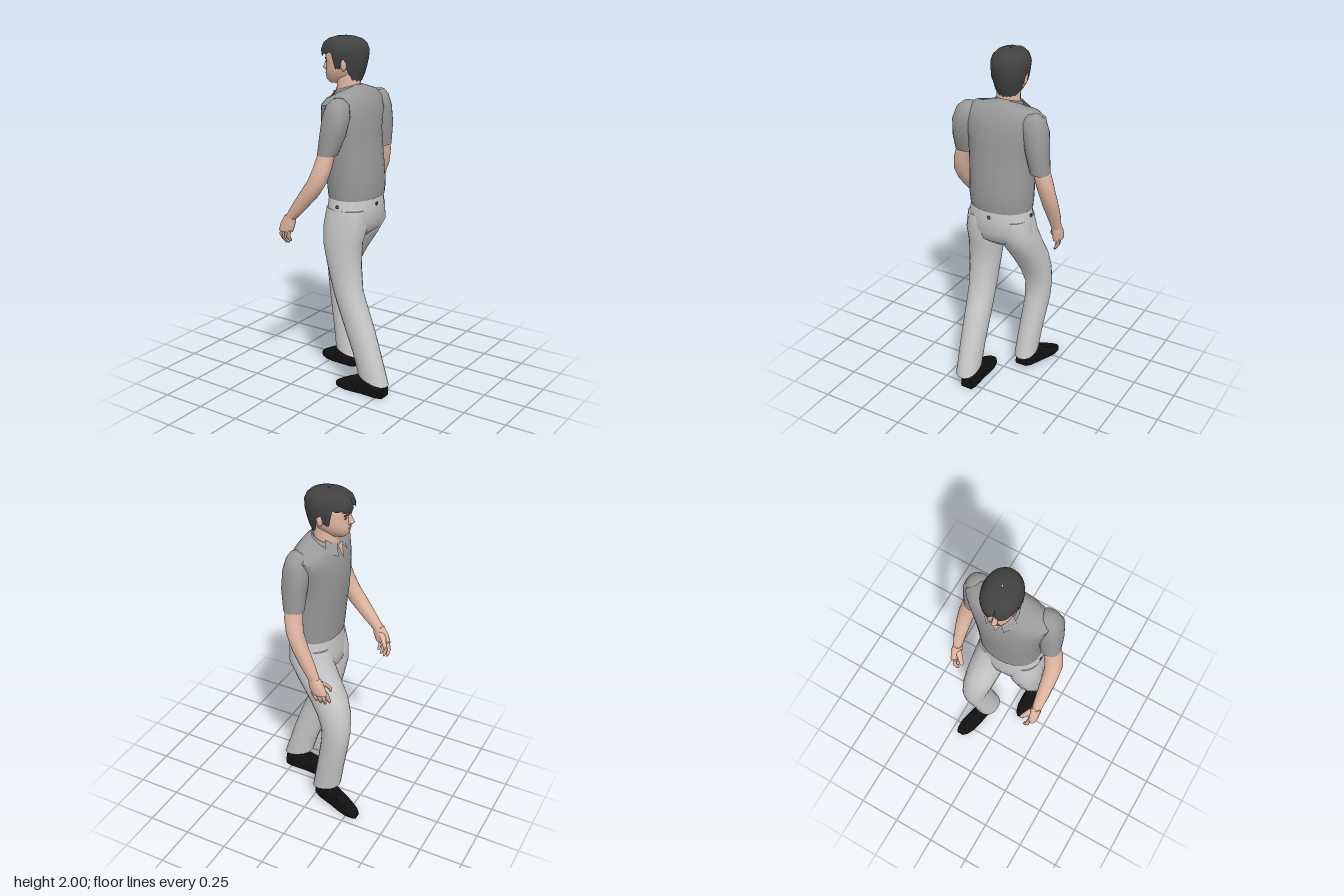
import * as THREE from 'three';
import { toCreasedNormals } from 'three/addons/utils/BufferGeometryUtils.js';

const paint = (color) => new THREE.MeshStandardMaterial({ color, side: THREE.DoubleSide, roughness: 0.9 });

// Skin a list of closed point rings (top to bottom), optionally capped
function skin(rings, capped = true, crease = 1) {
  const n = rings[0].length;
  const flat = (ring) => {
    const c = ring.reduce((s, p) => s.add(p), new THREE.Vector3()).divideScalar(n);
    return ring.map(() => c);
  };
  const all = capped ? [flat(rings[0]), ...rings, flat(rings[rings.length - 1])] : rings;
  const index = [];
  for (let i = 0; i < all.length - 1; i++) {
    for (let j = 0; j < n; j++) {
      const a = i * n + j, b = i * n + (j + 1) % n;
      index.push(a, b, a + n, b, b + n, a + n);
    }
  }
  const geo = new THREE.BufferGeometry().setFromPoints(all.flat());
  geo.setIndex(index);
  return toCreasedNormals(geo, crease);
}

// Horizontal cross-sections: [y, xMin, xMax, zMin, zMax, tilt]
function loft(sections, { sides = 20, power = 0.9, capped = true } = {}) {
  const soft = (v) => Math.sign(v) * Math.abs(v) ** power;
  return skin(sections.map(([y, x0, x1, z0, z1, tilt = 0]) =>
    Array.from({ length: sides }, (_, j) => {
      const t = (j / sides) * Math.PI * 2, c = soft(Math.cos(t)), s = soft(Math.sin(t));
      return new THREE.Vector3((x0 + x1) / 2 + c * (x1 - x0) / 2, y + tilt * c, (z0 + z1) / 2 + s * (z1 - z0) / 2);
    })), capped);
}

// Piecewise linear lookup in [[key, value], ...]
function ramp(table, k) {
  for (let i = 1; i < table.length; i++) {
    const [a, va] = table[i - 1], [b, vb] = table[i];
    if (k <= b) return va + (vb - va) * Math.max(0, (k - a) / (b - a));
  }
  return table[table.length - 1][1];
}

export function createModel() {
  const man = new THREE.Group();
  man.name = 'walkingMan';
  const skinTone = paint(0xe3b8a3), shirt = paint(0x999999), trousers = paint(0xcccccc);
  const hairTone = paint(0x424242), black = paint(0x111111), dark = paint(0x555555);
  const add = (name, geo, mat, parent = man) => {
    const m = new THREE.Mesh(geo, mat);
    m.name = name;
    parent.add(m);
    return m;
  };

  // Shirt body
  add('shirt', loft([
    [1.715, -0.085, 0.055, -0.095, 0.06, 0.03],
    [1.695, -0.095, 0.085, -0.2, 0.17, 0.02],
    [1.66, -0.105, 0.115, -0.25, 0.225, 0.01],
    [1.6, -0.12, 0.14, -0.235, 0.215],
    [1.5, -0.13, 0.145, -0.205, 0.195],
    [1.4, -0.125, 0.158, -0.195, 0.185],
    [1.28, -0.115, 0.172, -0.192, 0.175],
    [1.19, -0.108, 0.178, -0.192, 0.172],
    [1.135, -0.102, 0.172, -0.187, 0.167],
  ], { sides: 28 }), shirt);

  // Neck and collar
  add('neck', loft([
    [1.8, -0.09, 0.045, -0.08, 0.04], [1.73, -0.085, 0.04, -0.08, 0.045], [1.64, -0.1, 0.05, -0.085, 0.05],
  ]), skinTone);
  add('collarBand', loft([
    [1.725, -0.088, 0.047, -0.088, 0.05, 0.022], [1.695, -0.103, 0.075, -0.115, 0.08, 0.025],
  ], { capped: false }), shirt);
  for (const s of [1, -1]) {
    const flap = new THREE.BufferGeometry().setFromPoints([
      [-0.094, 1.7, s * 0.012], [-0.05, 1.73, s * 0.066], [-0.07, 1.685, s * 0.105], [-0.122, 1.645, s * 0.05],
    ].map(([x, y, z]) => new THREE.Vector3(x, y, z - 0.018)));
    flap.setIndex(s > 0 ? [0, 1, 3, 1, 2, 3] : [0, 3, 1, 1, 3, 2]);
    flap.computeVertexNormals();
    add(s > 0 ? 'leftCollarFlap' : 'rightCollarFlap', flap, shirt);
  }
  const opening = new THREE.BufferGeometry().setFromPoints([
    new THREE.Vector3(-0.105, 1.7, -0.045), new THREE.Vector3(-0.105, 1.7, 0.01), new THREE.Vector3(-0.126, 1.615, -0.018),
  ]);
  opening.computeVertexNormals();
  add('neckOpening', opening, skinTone);

  // Sleeves
  add('leftSleeve', loft([
    [1.695, 0.02, 0.075, 0.16, 0.215], [1.665, -0.01, 0.105, 0.13, 0.252], [1.6, -0.027, 0.123, 0.14, 0.275],
    [1.5, -0.035, 0.105, 0.16, 0.285], [1.4, -0.042, 0.062, 0.178, 0.29],
  ]), shirt);
  add('rightSleeve', loft([
    [1.695, 0.015, 0.08, -0.235, -0.18], [1.665, -0.015, 0.1, -0.27, -0.14], [1.6, -0.03, 0.115, -0.288, -0.15],
    [1.5, -0.02, 0.118, -0.295, -0.17], [1.375, -0.01, 0.1, -0.302, -0.195],
  ]), shirt);

  // Bare arms down to the wrists
  add('leftArm', loft([
    [1.43, -0.032, 0.055, 0.188, 0.28], [1.34, -0.05, 0.05, 0.215, 0.308], [1.26, -0.08, 0.03, 0.233, 0.325],
    [1.18, -0.135, -0.02, 0.243, 0.325], [1.1, -0.19, -0.095, 0.25, 0.32], [1.03, -0.235, -0.165, 0.258, 0.312],
  ]), skinTone);
  add('rightArm', loft([
    [1.42, -0.002, 0.09, -0.29, -0.2], [1.34, -0.01, 0.088, -0.312, -0.22], [1.26, -0.02, 0.07, -0.326, -0.235],
    [1.17, -0.055, 0.035, -0.328, -0.245], [1.08, -0.095, -0.01, -0.322, -0.255], [0.99, -0.125, -0.06, -0.31, -0.262],
  ]), skinTone);

  // Hands: palm, four curled fingers and a thumb
  const hand = (side, x, y, z) => {
    const s = side === 'left' ? 1 : -1;
    const g = new THREE.Group();
    g.name = side + 'Hand';
    g.position.set(x, y, z);
    const ball = (px, py, pz, r) => [py, px - r, px + r, s * pz - r, s * pz + r];
    add('palm', loft([
      [0.015, -0.03, 0.035, -0.025, 0.025], [-0.03, -0.06, 0.03, -0.03, 0.027], [-0.08, -0.075, 0.015, -0.024, 0.026],
    ], { sides: 12 }), skinTone, g);
    for (let i = 0; i < 4; i++) {
      const fx = -0.063 + i * 0.022, fz = -0.012 + i * 0.008, len = [0.075, 0.085, 0.08, 0.065][i];
      add('finger', loft([
        ball(fx, -0.07, fz, 0.012), ball(fx - 0.014, -0.075 - len * 0.5, fz - 0.005, 0.0105),
        ball(fx - 0.012, -0.075 - len * 0.85, fz - 0.02, 0.009), ball(fx - 0.01, -0.075 - len, fz - 0.025, 0.005),
      ], { sides: 8 }), skinTone, g);
    }
    add('thumb', loft([
      ball(-0.02, -0.01, -0.012, 0.017), ball(-0.05, -0.04, -0.04, 0.015),
      ball(-0.066, -0.07, -0.058, 0.011), ball(-0.068, -0.09, -0.06, 0.005),
    ], { sides: 8 }), skinTone, g);
    man.add(g);
  };
  hand('left', -0.205, 1.03, 0.285);
  hand('right', -0.092, 0.99, -0.285);

  // Trousers: hips and two striding legs
  add('hips', loft([
    [1.15, -0.097, 0.165, -0.18, 0.162], [1.08, -0.1, 0.17, -0.19, 0.178], [1.0, -0.098, 0.165, -0.2, 0.188],
    [0.94, -0.1, 0.14, -0.185, 0.17], [0.9, -0.06, 0.09, -0.1, 0.09],
  ], { sides: 24 }), trousers);
  add('leftLeg', loft([
    [1.08, -0.08, 0.155, 0.005, 0.178], [0.98, -0.097, 0.16, -0.005, 0.192], [0.88, -0.095, 0.128, 0.002, 0.195],
    [0.75, -0.066, 0.125, 0.015, 0.19], [0.6, -0.028, 0.138, 0.025, 0.182], [0.5, 0.005, 0.175, 0.028, 0.178],
    [0.4, 0.042, 0.213, 0.03, 0.175], [0.25, 0.1, 0.262, 0.035, 0.172], [0.105, 0.133, 0.315, 0.038, 0.17, -0.028],
  ]), trousers);
  add('rightLeg', loft([
    [1.08, -0.085, 0.15, -0.188, -0.01], [0.98, -0.105, 0.15, -0.203, -0.005], [0.88, -0.15, 0.09, -0.212, -0.012],
    [0.78, -0.205, 0.02, -0.218, -0.03], [0.68, -0.233, -0.04, -0.222, -0.05], [0.58, -0.238, -0.075, -0.222, -0.072],
    [0.48, -0.228, -0.068, -0.218, -0.075], [0.3, -0.193, -0.035, -0.195, -0.062], [0.12, -0.165, 0.003, -0.178, -0.048, -0.022],
  ]), trousers);

  // Small pulls hanging below the waist
  for (const [x, z] of [[0.03, 0.176], [0.03, -0.19], [0.17, -0.005]]) {
    const pull = add('waistPull', new THREE.TorusGeometry(0.008, 0.003, 6, 10), dark);
    pull.position.set(x, 1.1, z);
    if (x > 0.1) pull.rotation.y = Math.PI / 2;
  }

  // Shoes: flat-soled sections from heel to toe, [along, half width, height]
  const shoe = (name, heel, toe, lift) => {
    const stations = [[0, 0.036, 0.085], [0.12, 0.047, 0.105], [0.42, 0.045, 0.11], [0.6, 0.05, 0.085],
      [0.78, 0.05, 0.06], [0.93, 0.037, 0.036], [1, 0.02, 0.024]];
    const rings = stations.map(([u, w, h]) => Array.from({ length: 14 }, (_, j) => {
      const t = (j / 14) * Math.PI * 2, s = Math.sin(t);
      return new THREE.Vector3(
        THREE.MathUtils.lerp(heel[0], toe[0], u),
        (s > 0.01 ? 0.012 + (h - 0.012) * s ** 0.8 : s < -0.01 ? 0 : 0.012) + lift * (1 - u) ** 2 + lift * 0.4,
        THREE.MathUtils.lerp(heel[1], toe[1], u) + w * Math.sign(Math.cos(t)) * Math.abs(Math.cos(t)) ** 0.6);
    }));
    add(name, skin(rings, true, 0.6), black);
  };
  shoe('leftShoe', [0.29, 0.085], [-0.03, 0.088], 0);
  shoe('rightShoe', [-0.02, -0.108], [-0.32, -0.188], 0.03);

  // Head, turned slightly to its left
  const head = new THREE.Group();
  head.name = 'head';
  head.position.set(-0.04, 0, -0.02);
  head.rotation.y = 0.18;
  man.add(head);
  add('face', loft([
    [1.975, -0.07, 0.06, -0.05, 0.05], [1.93, -0.112, 0.1, -0.08, 0.08], [1.88, -0.114, 0.11, -0.084, 0.084],
    [1.855, -0.107, 0.105, -0.083, 0.083], [1.82, -0.112, 0.085, -0.079, 0.079], [1.79, -0.114, 0.065, -0.069, 0.069],
    [1.765, -0.112, 0.04, -0.052, 0.052], [1.745, -0.095, 0.01, -0.036, 0.036],
  ], { sides: 24, power: 0.85 }), skinTone, head);
  add('nose', loft([
    [1.872, -0.117, -0.09, -0.008, 0.008], [1.84, -0.13, -0.09, -0.011, 0.011],
    [1.822, -0.139, -0.09, -0.017, 0.017], [1.81, -0.122, -0.09, -0.013, 0.013],
  ], { sides: 10 }), skinTone, head);
  const mouth = add('mouth', new THREE.SphereGeometry(1, 10, 6), paint(0xbb7f72), head);
  mouth.scale.set(0.008, 0.006, 0.024);
  mouth.position.set(-0.111, 1.793, 0);
  for (const s of [1, -1]) {
    const eye = add('eye', new THREE.SphereGeometry(1, 10, 6), dark, head);
    eye.scale.set(0.008, 0.005, 0.012);
    eye.position.set(-0.098, 1.857, s * 0.034);
    const brow = add('eyebrow', new THREE.BoxGeometry(0.012, 0.006, 0.034), hairTone, head);
    brow.position.set(-0.103, 1.876, s * 0.036);
    brow.rotation.y = s * 0.35;
    const ear = add('ear', new THREE.SphereGeometry(1, 10, 8), skinTone, head);
    ear.scale.set(0.018, 0.034, 0.012);
    ear.position.set(0.022, 1.852, s * 0.088);
  }

  // Hair: a shell whose hem rises over the brow and ears and drops at the nape
  const hem = [[-1, 1.91], [-0.93, 1.885], [-0.6, 1.905], [-0.32, 1.91], [-0.25, 1.825], [0, 1.825],
    [0.06, 1.88], [0.26, 1.87], [0.38, 1.81], [0.6, 1.77], [1, 1.757]];
  const girth = [[1.74, 0.6], [1.8, 0.8], [1.87, 0.95], [1.92, 1], [1.955, 0.93], [1.98, 0.74], [1.993, 0.45], [2, 0.04]];
  const N = 56;
  const shell = [2, 1.994, 1.982, 1.96, 1.93, 0.25, 0.5, 0.75, 1].map((v) => Array.from({ length: N }, (_, j) => {
    const t = (j / N) * Math.PI * 2, c = Math.cos(t), s = Math.sin(t);
    const y = v > 1 ? v : 1.93 + (ramp(hem, c) - 1.93) * v + (j % 3 === 0 ? 0.008 * v : 0);
    const part = 1 - 0.13 * Math.exp(-(((t - Math.PI) / 0.16) ** 2));
    const r = ramp(girth, y) * part;
    const side = Math.max(r, y < 1.9 ? 0.84 : 0);
    return new THREE.Vector3(c * r * (c < 0 ? 0.142 : 0.13), y, s * 0.105 * (c < 0.3 ? side : r));
  }));
  add('hair', skin(shell, false, 0.8), hairTone, head);

  return man;
}
